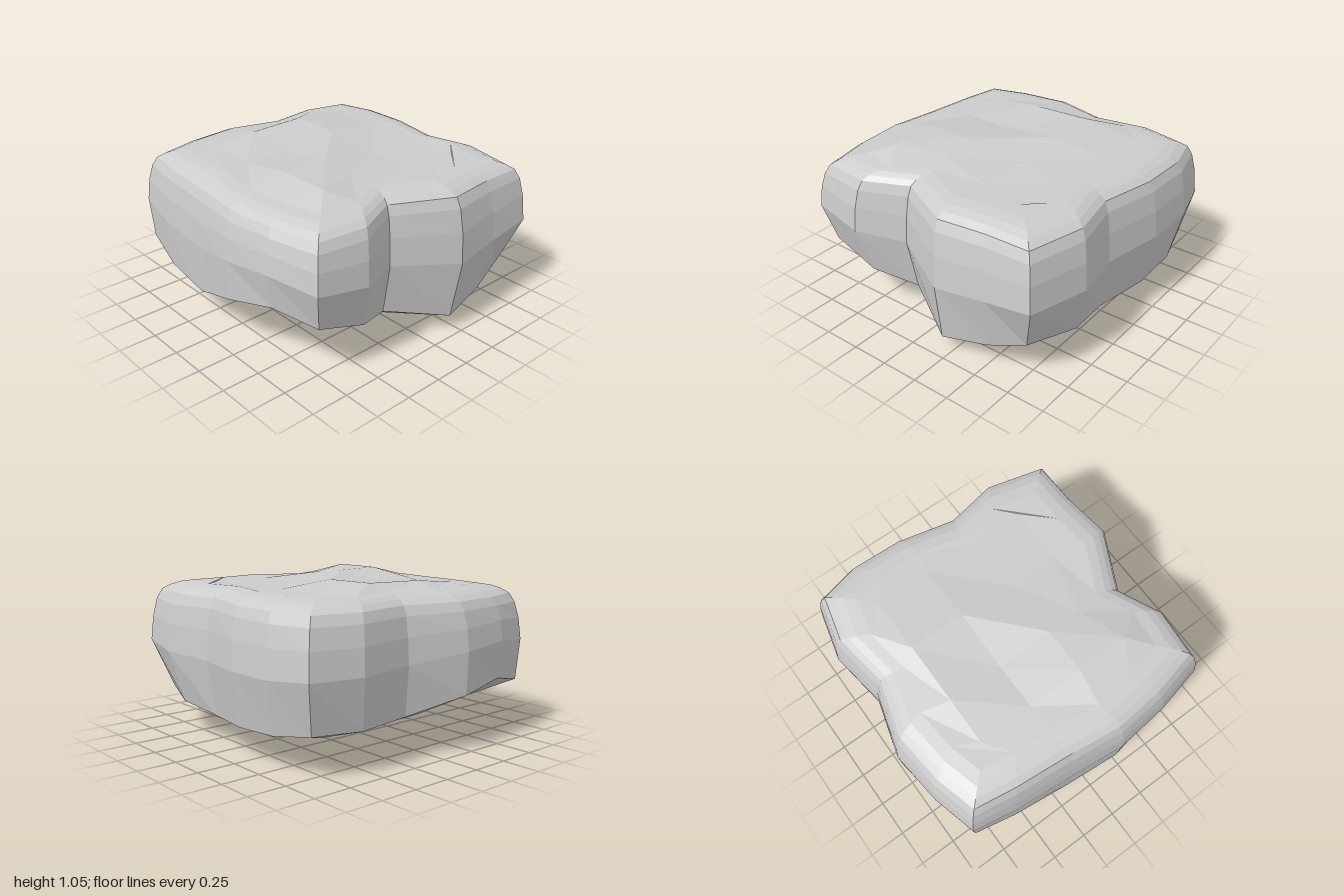
import * as THREE from 'three';

// Plan outline, clockwise from the back corner at -x:
// [x, z, height of lower edge, inset of lower edge]
const OUTLINE = [
  [-0.87, -0.93, 0.26, 0.93], [-0.58, -1.0, 0.22, 0.93], [-0.22, -0.99, 0.2, 0.94],
  [0.19, -0.9, 0.18, 0.94], [0.55, -0.97, 0.22, 0.91], [0.955, -0.87, 0.25, 0.88],
  [0.96, -0.55, 0.16, 0.93], [1.0, -0.21, 0.105, 0.94], [0.79, 0.21, 0.2, 0.92],
  [0.93, 0.52, 0.28, 0.91], [0.895, 0.87, 0.385, 0.93],
  [0.55, 0.95, 0.43, 0.96], [0.2, 0.985, 0.36, 0.99], [-0.17, 0.94, 0.24, 0.99],
  [-0.58, 0.905, 0.25, 0.98], [-0.88, 0.86, 0.35, 0.98],
  [-0.96, 0.57, 0.41, 0.98], [-1.0, 0.2, 0.36, 0.99], [-0.89, -0.2, 0.27, 0.97],
  [-0.95, -0.6, 0.26, 0.95],
];

// Wall rings above the lower edge: [fraction of the way up to 0.9, scale]
const WALL = [[0.5, 1], [0.76, 0.985], [0.95, 0.96]];
// Rounded shoulder rings: [height, scale]
const SHOULDER = [[0.93, 0.93], [0.96, 0.885], [0.982, 0.83], [0.995, 0.75]];

// Inner 4 x 4 heights, rows from back to front
const TOP = [
  [1.0, 1.0, 0.99, 0.99],
  [1.04, 1.035, 1.0, 0.99],
  [1.03, 1.0, 1.045, 1.02],
  [1.0, 1.0, 1.05, 1.05],
];
const BOTTOM = [
  [0.15, 0.1, 0.07, 0.09],
  [0.14, 0.03, 0.01, 0.05],
  [0.15, 0.0, 0.04, 0.09],
  [0.19, 0.075, 0.14, 0.22],
];
const GRID_X = [-0.56, -0.19, 0.18, 0.53];
const GRID_Z = [-0.6, -0.21, 0.2, 0.51];

function createBody() {
  const positions = [];
  const index = [];
  const n = OUTLINE.length;
  const add = (x, y, z) => positions.push(x, y, z) / 3 - 1;
  const quad = (a, b, c, d) => index.push(a, b, c, a, c, d);

  // Wall and shoulder rings
  const rings = [OUTLINE.map(([x, z, y, s]) => add(x * s, y, z * s))];
  for (const [f, s] of WALL) {
    rings.push(OUTLINE.map(([x, z, y]) => add(x * s, y + (0.9 - y) * f, z * s)));
  }
  for (const [y, s] of SHOULDER) {
    rings.push(OUTLINE.map(([x, z]) => add(x * s, y, z * s)));
  }
  for (let k = 0; k < rings.length - 1; k++) {
    const low = rings[k], high = rings[k + 1];
    for (let i = 0; i < n; i++) {
      const j = (i + 1) % n;
      quad(low[i], high[i], high[j], low[j]);
    }
  }

  // A 6 x 6 grid whose border is a ring closes the top or the underside
  const cap = (ring, heights, notchX, up) => {
    const inner = heights.map((row, r) => row.map((y, c) =>
      add(r === 2 && c === 3 ? notchX : GRID_X[c], y, GRID_Z[r])));
    const at = (r, c) => {
      if (r === 0) return ring[c];
      if (c === 5) return ring[5 + r];
      if (r === 5) return ring[15 - c];
      if (c === 0) return ring[20 - r];
      return inner[r - 1][c - 1];
    };
    for (let r = 0; r < 5; r++) {
      for (let c = 0; c < 5; c++) {
        const q = [at(r, c), at(r + 1, c), at(r + 1, c + 1), at(r, c + 1)];
        quad(...(up ? q : q.reverse()));
      }
    }
  };
  cap(rings[rings.length - 1], TOP, 0.42, true);
  cap(rings[0], BOTTOM, 0.48, false);

  const geometry = new THREE.BufferGeometry();
  geometry.setAttribute('position', new THREE.Float32BufferAttribute(positions, 3));
  geometry.setIndex(index);
  geometry.computeVertexNormals();
  return geometry;
}

export function createModel() {
  const group = new THREE.Group();
  group.name = 'rock';
  const material = new THREE.MeshStandardMaterial({ color: 0xcccccc, flatShading: true });
  const body = new THREE.Mesh(createBody(), material);
  body.name = 'rockBody';
  group.add(body);
  return group;
}
